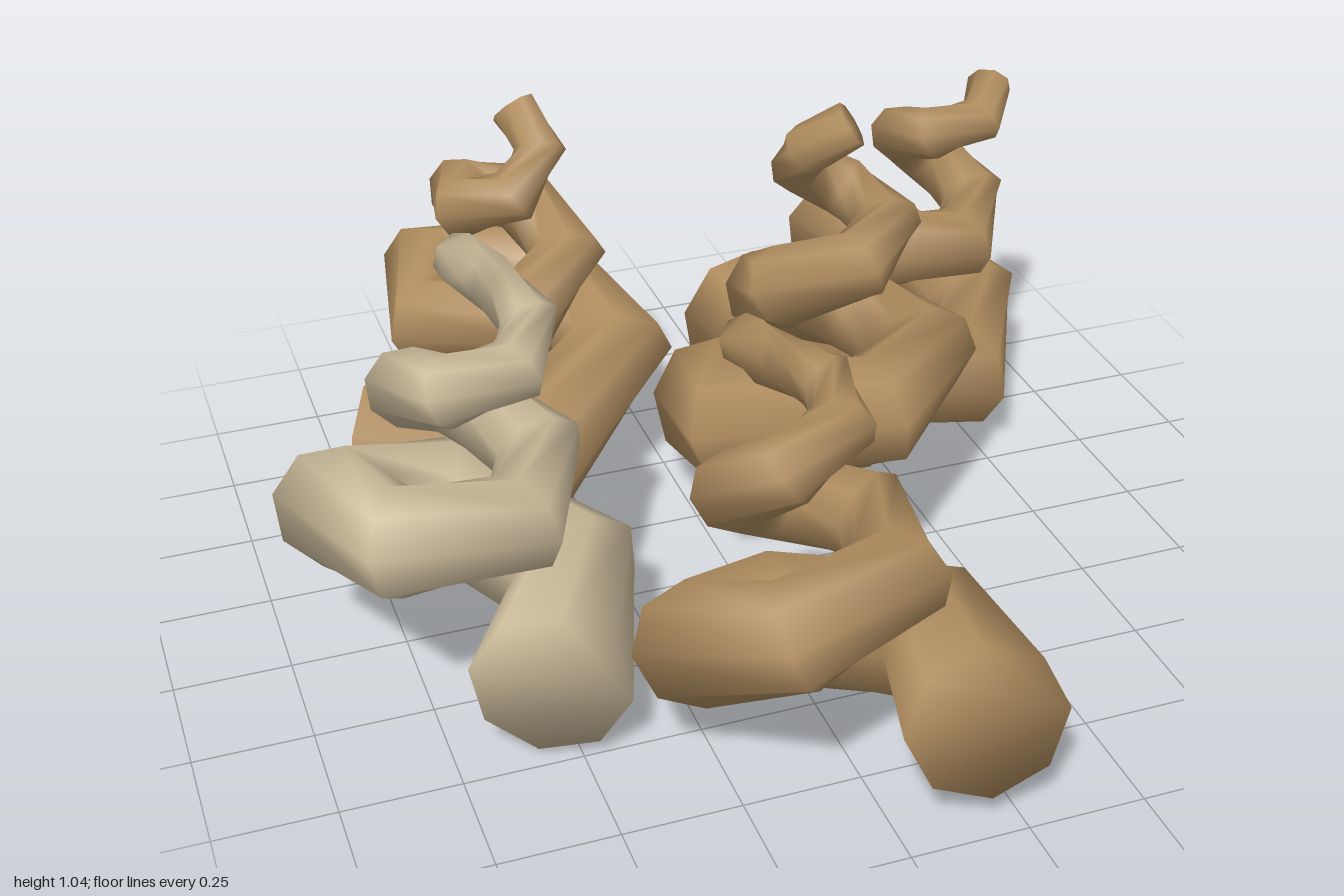
import * as THREE from 'three';

const SIDES = 8, POINTS = 14, STEP = Math.PI * 2 / 5;
const UP = new THREE.Vector3(0, 1, 0);

// Tapered tube wound as a five-sided conical helix, closed with softly shaded caps
function coilGeometry(phaseDegrees) {
  const phase = THREE.MathUtils.degToRad(phaseDegrees);
  const path = Array.from({ length: POINTS }, (_, k) => {
    const a = phase + STEP * k, R = 0.345 * 0.89 ** k;
    return new THREE.Vector3(R * Math.cos(a), 0.059 * k, -R * Math.sin(a));
  });
  const positions = [], index = [];
  path.forEach((p, k) => {
    const before = new THREE.Vector3(), after = new THREE.Vector3();
    if (k > 0) before.subVectors(p, path[k - 1]).normalize();
    if (k < POINTS - 1) after.subVectors(path[k + 1], p).normalize();
    const t = before.add(after).normalize();
    const n = new THREE.Vector3().crossVectors(t, UP).normalize();
    const b = new THREE.Vector3().crossVectors(t, n);
    const r = 0.167 * 0.915 ** k;
    for (let j = 0; j < SIDES; j++) {
      const a = j / SIDES * Math.PI * 2;
      const v = p.clone().addScaledVector(n, r * Math.cos(a)).addScaledVector(b, r * Math.sin(a));
      positions.push(v.x, v.y, v.z);
    }
  });
  // Walls
  for (let k = 0; k < POINTS - 1; k++) {
    for (let j = 0; j < SIDES; j++) {
      const a = k * SIDES + j, b = k * SIDES + (j + 1) % SIDES;
      index.push(a, b, b + SIDES, a, b + SIDES, a + SIDES);
    }
  }
  // Caps
  const last = (POINTS - 1) * SIDES;
  for (let j = 1; j < SIDES - 1; j++) {
    index.push(0, j + 1, j, last, last + j, last + j + 1);
  }
  const geometry = new THREE.BufferGeometry();
  geometry.setAttribute('position', new THREE.Float32BufferAttribute(positions, 3));
  geometry.setIndex(index);
  geometry.computeVertexNormals();
  return geometry;
}

export function createModel() {
  const brown = new THREE.MeshStandardMaterial({ color: 0xb08d5f });
  brown.name = 'brown';
  const paleTan = new THREE.MeshStandardMaterial({ color: 0xc8b898 });
  paleTan.name = 'paleTan';

  // Each coil: foot position, lean of its axis in x and z, starting angle
  const coils = [
    { name: 'backRightCoil', at: [-0.36, 0.21, -0.67], lean: [0, 0.24], phase: -160, material: brown },
    { name: 'backLeftCoil', at: [0.60, 0.11, -0.65], lean: [0.28, 0.05], phase: 149, material: brown },
    { name: 'middleCoil', at: [0.25, 0.24, -0.07], lean: [0.09, -0.2], phase: 57, material: brown },
    { name: 'paleCoil', at: [-0.71, 0.20, 0.165], lean: [0.23, -0.06], phase: -63, material: paleTan },
    { name: 'frontCoil', at: [-0.05, 0.15, 0.69], lean: [-0.02, -0.32], phase: -48, material: brown },
  ];

  const group = new THREE.Group();
  group.name = 'spiralCoils';
  for (const { name, at, lean, phase, material } of coils) {
    const mesh = new THREE.Mesh(coilGeometry(phase), material);
    mesh.name = name;
    mesh.position.set(...at);
    mesh.quaternion.setFromUnitVectors(UP, new THREE.Vector3(lean[0], 1, lean[1]).normalize());
    group.add(mesh);
  }
  return group;
}
